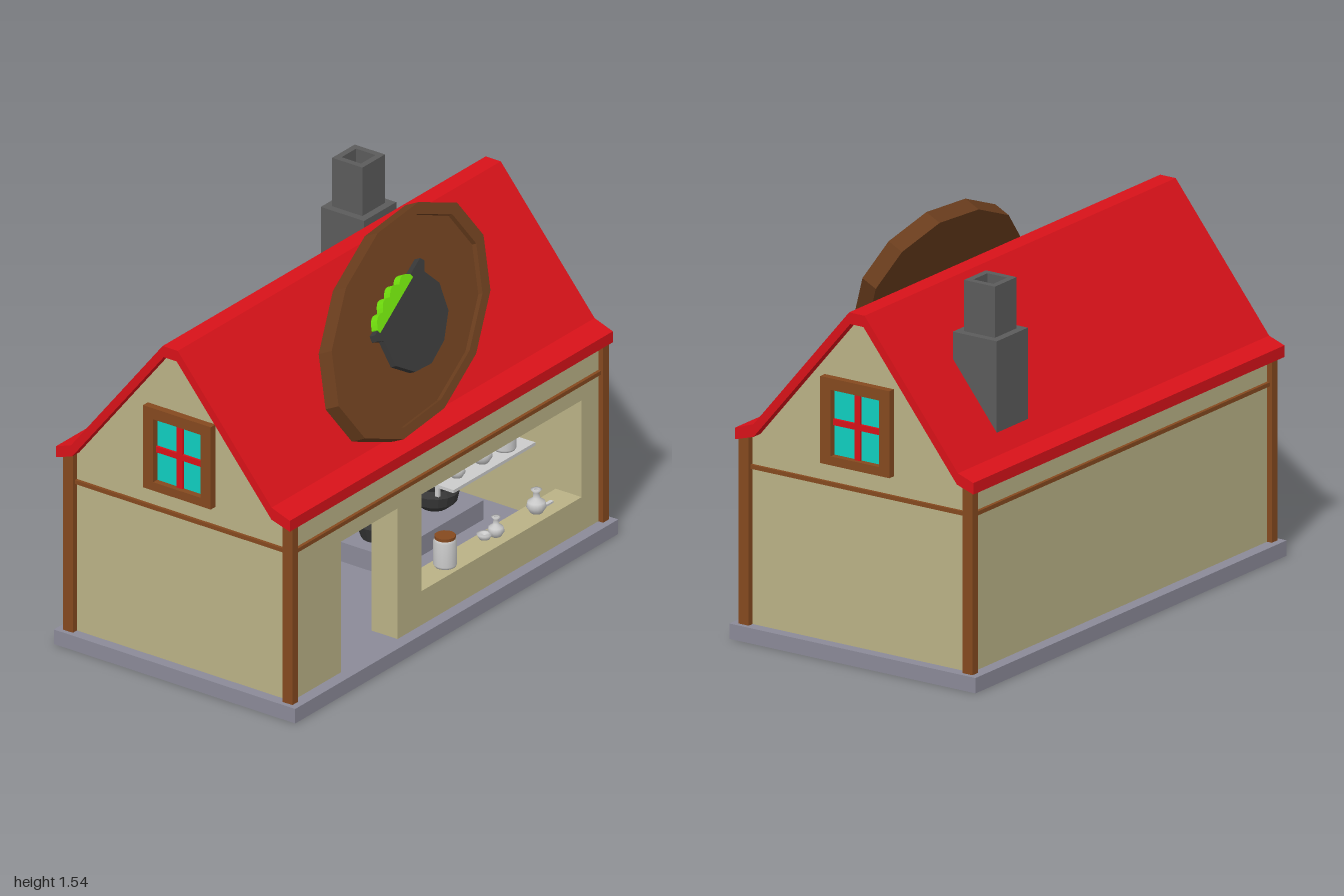
import * as THREE from 'three';

const mat = (color, flat = true) =>
  new THREE.MeshStandardMaterial({ color, flatShading: flat, side: THREE.DoubleSide });
const WALL = mat(0xbab286), RED = mat(0xd81219), WOOD = mat(0x85491f), STONE = mat(0x8b8a98);
const SIGN = mat(0x6a3d1d), BRICK = mat(0x5b5b5b), GLASS = mat(0x0fcfc0), IRON = mat(0x383838);
const GREEN = mat(0x6edb0c), CHINA = mat(0xcccccc, false);

function add(parent, name, geometry, material) {
  const m = new THREE.Mesh(geometry, material);
  m.name = name;
  parent.add(m);
  return m;
}

// Box given by its limits on each axis
function box(parent, name, material, x0, x1, y0, y1, z0, z1) {
  const m = add(parent, name, new THREE.BoxGeometry(x1 - x0, y1 - y0, z1 - z0), material);
  m.position.set((x0 + x1) / 2, (y0 + y1) / 2, (z0 + z1) / 2);
  return m;
}

const shapeOf = pts => new THREE.Shape(pts.map(p => new THREE.Vector2(...p)));
const rect = (x0, x1, y0, y1) => [[x0, y0], [x1, y0], [x1, y1], [x0, y1]];

function slab(parent, name, material, pts, depth, z = 0, holes = []) {
  const s = shapeOf(pts);
  holes.forEach(h => s.holes.push(shapeOf(h)));
  const m = add(parent, name, new THREE.ExtrudeGeometry(s, { depth, bevelEnabled: false }), material);
  m.position.z = z;
  return m;
}

function turned(parent, name, material, profile, x, y, z, sides = 16) {
  const g = new THREE.LatheGeometry(profile.map(p => new THREE.Vector2(...p)), sides);
  add(parent, name, g, material).position.set(x, y, z);
}

function vase(parent, x, y, z, s = 1) {
  const p = [[0, 0], [.02, 0], [.032, .02], [.028, .037], [.011, .05], [.01, .068], [.018, .078], [.008, .078]];
  turned(parent, 'vase', CHINA, p.map(([r, h]) => [r * s, h * s]), x, y, z);
}

function jar(parent, x, y, z, h = .125) {
  turned(parent, 'jar', CHINA, [[0, 0], [.04, 0], [.045, .01], [.045, h - .02], [.036, h - .01]], x, y, z);
  const lid = add(parent, 'jarLid', new THREE.CylinderGeometry(.04, .04, .012, 16), WOOD);
  lid.position.set(x, y + h - .005, z);
}

function buildWalls(house) {
  box(house, 'foundation', STONE, -.56, .56, 0, .06, -1, 1);
  box(house, 'backWall', WALL, -.51, -.39, .06, .6, -.955, .955);
  for (const s of [-1, 1]) {
    box(house, 'endWall', WALL, -.39, .39, .06, .6, s > 0 ? .84 : -.955, s > 0 ? .955 : -.84);
  }
  // Shop side with a doorway and a serving window
  const side = slab(house, 'shopWall', WALL,
    [[-.955, .06], [-.65, .06], [-.65, .6], [-.3, .6], [-.3, .06], [.955, .06], [.955, .62], [-.955, .62]],
    .12, 0, [rect(-.15, .84, .2, .6)]);
  side.rotation.y = Math.PI / 2;
  side.position.x = .39;
  // Upper storey with gables; its underside is the ceiling
  slab(house, 'upperWalls', WALL,
    [[-.51, .6], [.51, .6], [.51, .79], [.455, .81], [.01, 1.34], [-.05, 1.34], [-.478, .81], [-.51, .79]],
    1.91, -.955);
  // Timber posts and rails
  for (const z of [-1, 1]) {
    for (const x of [-1, 1]) {
      const post = add(house, 'cornerPost', new THREE.BoxGeometry(.046, .74, .036), WOOD);
      post.position.set(x * .509, .43, z * .962);
    }
    const rail = add(house, 'endRail', new THREE.BoxGeometry(1, .016, .02), WOOD);
    rail.position.set(0, .678, z * .957);
    const sideRail = add(house, 'sideRail', new THREE.BoxGeometry(.02, .016, 1.9), WOOD);
    sideRail.position.set(z * .513, .678, 0);
  }
}

function buildRoof(house) {
  slab(house, 'roof', RED, [
    [-.55, .82], [-.48, .845], [-.055, 1.38], [.015, 1.38], [.45, .86], [.535, .83],
    [.535, .785], [.45, .81], [.01, 1.335], [-.05, 1.335], [-.475, .8], [-.55, .775]], 2, -1);
  // Chimney with an open flue
  const chimney = new THREE.Group();
  chimney.name = 'chimney';
  box(chimney, 'chimneyBase', BRICK, -.43, -.23, .88, 1.265, -.68, -.48);
  const flue = slab(chimney, 'chimneyTop', BRICK, rect(-.07, .07, -.07, .07), .2, 0, [rect(-.045, .045, -.045, .045)]);
  flue.rotation.x = -Math.PI / 2;
  flue.position.set(-.33, 1.265, -.58);
  house.add(chimney);
}

function buildGableWindow() {
  const w = new THREE.Group();
  w.name = 'gableWindow';
  slab(w, 'windowFrame', WOOD, rect(-.157, .157, .76, 1.1), .05, -.02, [rect(-.11, .11, .795, 1.055)]);
  box(w, 'windowPane', GLASS, -.112, .112, .793, 1.057, -.015, .004);
  box(w, 'windowBarUpright', RED, -.013, .013, .795, 1.055, 0, .014);
  box(w, 'windowBarLevel', RED, -.11, .11, .913, .937, 0, .014);
  return w;
}

function buildSign() {
  const sign = new THREE.Group();
  sign.name = 'hangingSign';
  const oval = k => Array.from({ length: 12 }, (_, i) => {
    const a = (i + .5) / 12 * Math.PI * 2;
    return [.565 * k * Math.cos(a), .33 * k * Math.sin(a)];
  });
  slab(sign, 'signRim', SIGN, oval(1), .068, -.034, [oval(.9)]);
  slab(sign, 'signBoard', SIGN, oval(.905), .045, -.033);
  // Cauldron emblem with bubbling stew
  slab(sign, 'signCauldron', IRON, [
    [-.2, .085], [-.19, .108], [.225, .108], [.235, .085], [.2, .06], [.222, -.02], [.17, -.115],
    [.06, -.165], [-.06, -.168], [-.15, -.125], [-.205, -.04], [-.172, .06]], .03, .01);
  const stew = [[-.165, .095]];
  for (let i = 0; i <= 24; i++) {
    const t = i / 24;
    stew.push([-.165 + .3 * t, .112 + .025 * Math.sin(Math.PI * t) + .018 * Math.abs(Math.sin(t * Math.PI * 4))]);
  }
  stew.push([.135, .095]);
  slab(sign, 'signStew', GREEN, stew, .034, .01);
  // Struts to the roof
  for (const [x, y] of [[.18, -.12], [-.18, .04]]) box(sign, 'signStrut', SIGN, x - .022, x + .022, y - .022, y + .022, -.13, -.03);
  // Lean back with the roof slope and tilt the long axis
  const c = .916, s = .402, up = new THREE.Vector3(-.453, .891, 0), back = new THREE.Vector3(0, 0, -1);
  const X = back.clone().multiplyScalar(c).addScaledVector(up, s);
  const Y = up.clone().multiplyScalar(c).addScaledVector(back, -s);
  sign.quaternion.setFromRotationMatrix(new THREE.Matrix4().makeBasis(X, Y, X.clone().cross(Y)));
  sign.position.set(.318, 1.196, 0);
  return sign;
}

function buildInterior() {
  const room = new THREE.Group();
  room.name = 'interior';
  // Stairs climbing along the back wall
  for (let i = 0; i < 7; i++) {
    const z = .81 - i * .115, top = .3 + i * .0625;
    box(room, 'stairStep', STONE, -.39, -.18, top - .085, Math.min(top, .6), z - .115, z);
  }
  box(room, 'stairLanding', STONE, -.39, -.18, .06, .14, .58, .7);
  // Cupboards under the stairs
  box(room, 'cupboard', WOOD, -.38, -.2, .06, .265, .3, .49);
  box(room, 'cupboardPost', WOOD, -.38, -.34, .06, .345, .5, .535);
  box(room, 'chest', WOOD, -.38, -.22, .06, .225, .54, .64);
  box(room, 'bench', WOOD, -.2, -.12, .075, .1, .3, .58);
  jar(room, -.28, .265, .395);
  vase(room, -.28, .265, .315, 1.1);
  // Hearth with cooking pots
  box(room, 'hearth', STONE, -.39, .16, .06, .14, -.7, -.1);
  const pot = [[0, 0], [.05, .005], [.085, .035], [.094, .075], [.08, .1], [.09, .12], [.078, .118], [.07, .08], [0, .03]];
  turned(room, 'cauldron', IRON, pot, .05, .14, -.545);
  turned(room, 'coveredPan', IRON, [[0, 0], [.07, 0], [.09, .06], [.08, .08], [.04, .11], [.02, .118], [0, .12]], .03, .14, -.23);
  // Shelf on brackets
  box(room, 'shelf', CHINA, .25, .37, .412, .425, -.74, -.235);
  for (const z of [-.28, -.42, -.56, -.7]) {
    box(room, 'shelfBracket', CHINA, .255, .27, .35, .412, z - .006, z + .006);
    box(room, 'shelfArm', CHINA, .255, .35, .4, .412, z - .006, z + .006);
  }
  vase(room, .31, .425, -.335);
  vase(room, .31, .425, -.49, 1.25);
  jar(room, .31, .425, -.63);
  // Wares on the serving sill
  jar(room, .45, .2, -.075);
  vase(room, .45, .2, -.39);
  vase(room, .45, .2, -.64, 1.2);
  turned(room, 'dish', CHINA, [[0, 0], [.02, 0], [.03, .02], [.015, .022], [0, .01]], .43, .2, -.345);
  box(room, 'spoon', CHINA, .44, .455, .2, .208, -.74, -.67);
  return room;
}

export function createModel() {
  const house = new THREE.Group();
  house.name = 'cottageShop';
  buildWalls(house);
  buildRoof(house);
  for (const s of [1, -1]) {
    const w = buildGableWindow();
    w.position.z = s * .955;
    if (s < 0) w.rotation.y = Math.PI;
    house.add(w);
  }
  house.add(buildSign(), buildInterior());
  return house;
}
